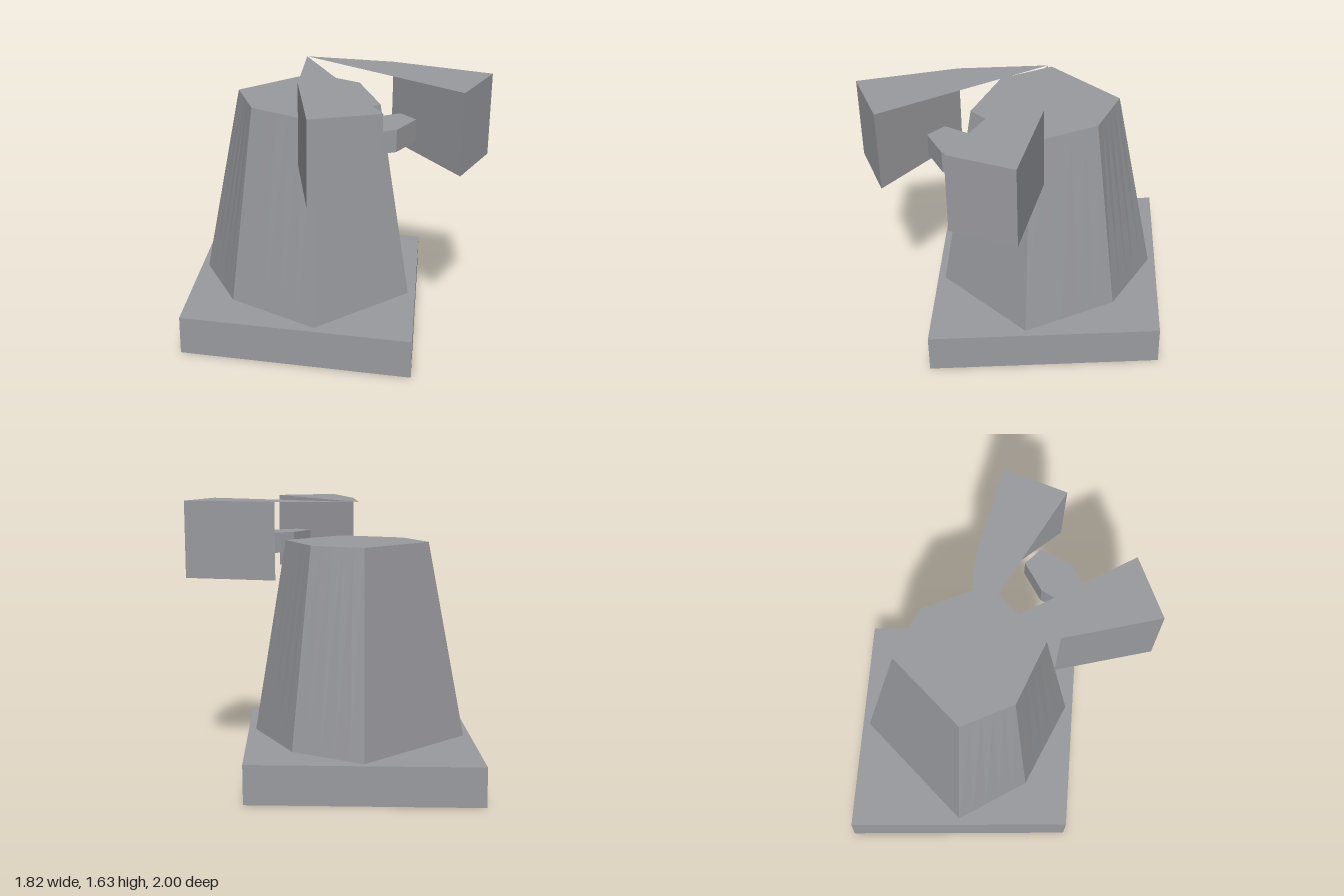
import * as THREE from 'three';

const grey = new THREE.MeshStandardMaterial({ color: 0x9a9b9f, flatShading: true, side: THREE.DoubleSide });
grey.name = 'stone grey';

// Mesh from a flat list of triangle corners
function facetMesh(name, corners) {
  const geometry = new THREE.BufferGeometry();
  geometry.setAttribute('position', new THREE.Float32BufferAttribute(corners.flat(), 3));
  geometry.computeVertexNormals();
  const mesh = new THREE.Mesh(geometry, grey);
  mesh.name = name;
  return mesh;
}

// Ring of [x, z] points with every edge cut into equal pieces, lifted to height y
function liftRing(ring, y, pieces) {
  return ring.flatMap(([x, z], i) => {
    const [nx, nz] = ring[(i + 1) % ring.length];
    return Array.from({ length: pieces }, (_, k) => [x + (nx - x) * k / pieces, y, z + (nz - z) * k / pieces]);
  });
}

// Walls and top between two convex rings, ordered front, left (+x), back; open underneath
function shell(name, lower, y0, upper, y1, pieces = 1) {
  const b = liftRing(lower, y0, pieces);
  const t = liftRing(upper, y1, pieces);
  const tris = [];
  b.forEach((corner, i) => {
    const j = (i + 1) % b.length;
    tris.push(corner, b[j], t[j], corner, t[j], t[i]);
  });
  const roof = liftRing(upper, y1, 1);
  for (let i = 1; i < roof.length - 1; i++) tris.push(roof[0], roof[i], roof[i + 1]);
  return facetMesh(name, tris);
}

const mirrorRing = (ring) => ring.map(([x, z]) => [-x, z]).reverse();
// Full ring from its +x half
const symmetric = (half) => [...half, ...mirrorRing(half)];

export function createModel() {
  const model = new THREE.Group();
  model.name = 'windmill';

  // Hollow square base turned to a diamond
  const diamond = [[0, 0.98], [0.91, -0.01], [0, -1], [-0.91, -0.01]];
  model.add(shell('base', diamond, 0, diamond, 0.23));

  // Tapered six-sided tower, its slightly twisted sides cut into strips
  model.add(shell('tower',
    symmetric([[0.35, 0.535], [0.543, -0.01], [0.427, -0.475]]), 0.23,
    symmetric([[0.235, 0.37], [0.385, -0.01], [0.27, -0.32]]), 1.4, 5));

  // Small six-sided hub floating before the tower
  const hub = [[0, 0.79], [0.185, 0.73], [0.185, 0.605], [0, 0.555], [-0.185, 0.605], [-0.185, 0.73]];
  model.add(shell('hub', hub, 1.3, hub, 1.425));

  // Pair of hollow wedge blades, each with a flat flap reaching back to the centre
  const wedge = [[0.272, 1], [0.623, 0.845], [0.33, 0.36]];
  for (const side of [1, -1]) {
    const blade = new THREE.Group();
    blade.name = side > 0 ? 'leftBlade' : 'rightBlade';
    const ring = side > 0 ? wedge : mirrorRing(wedge);
    blade.add(shell('bladeWedge', ring, 1.165, ring, 1.63));
    const inner = [side * 0.272, 1.63, 1];
    const rear = [side * 0.33, 1.63, 0.36];
    const apex = [0, 1.63, -0.01];
    blade.add(facetMesh('bladeFlap', side > 0 ? [inner, rear, apex] : [rear, inner, apex]));
    model.add(blade);
  }
  return model;
}
